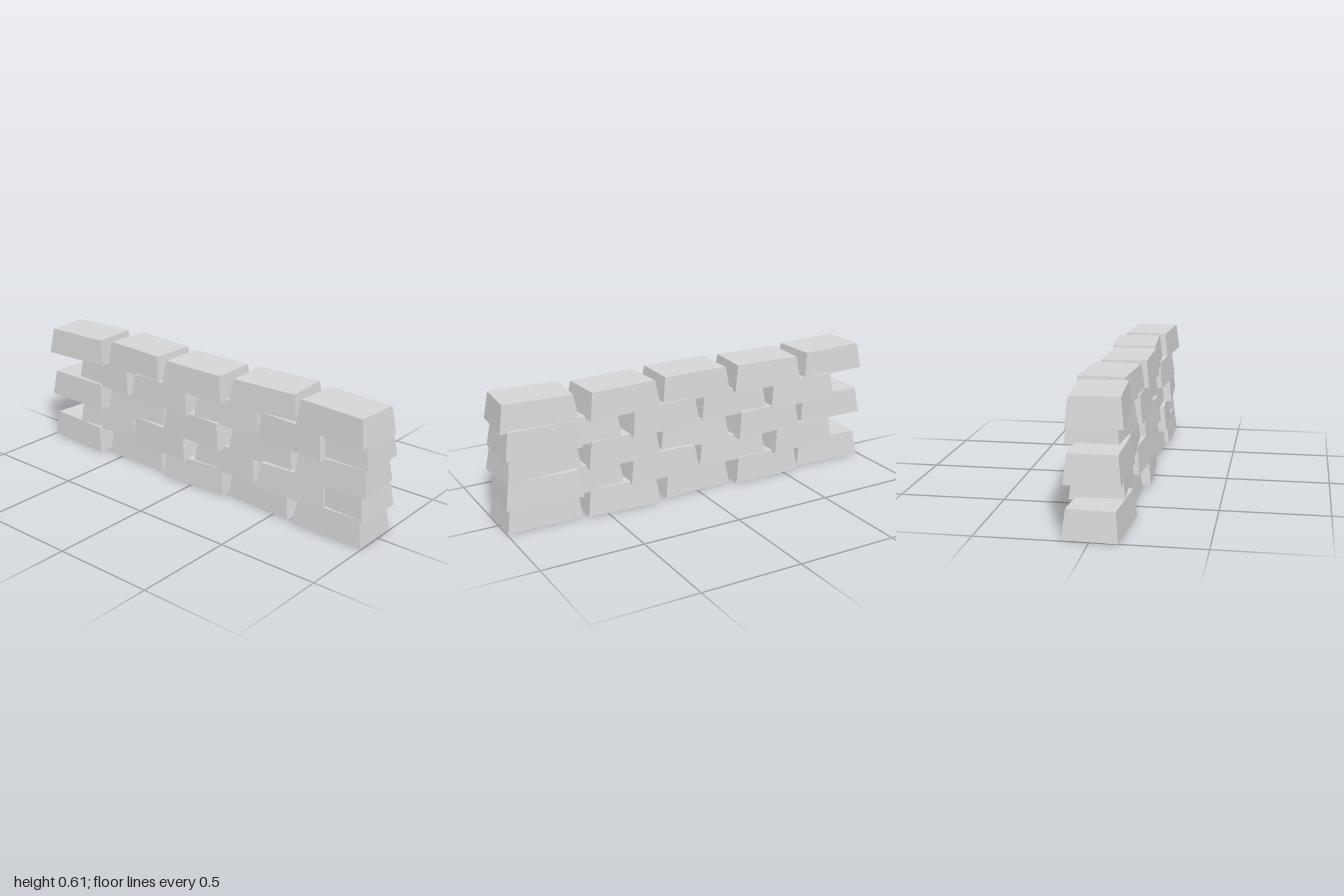
import * as THREE from 'three';

// Dimensions of one tapered block and of the wall grid
const WIDTH = 0.374, DEPTH = 0.245, HEIGHT = 0.131;
const TAPER_X = 0.02, TAPER_Z = 0.0143;
const ROWS = 5, COLUMNS = 5;
const PITCH = 0.403, ROW_STEP = 0.1207;
const HALF_OFFSET = 0.187, TURN = 0.061, SHIFT = 0.0125;

// Box standing on y = 0 with its top face drawn in on all sides
function blockGeometry() {
  const box = new THREE.BoxGeometry(WIDTH, HEIGHT, DEPTH).translate(0, HEIGHT / 2, 0);
  const p = box.attributes.position;
  for (let i = 0; i < p.count; i++) {
    if (p.getY(i) < HEIGHT / 2) continue;
    p.setX(i, p.getX(i) - Math.sign(p.getX(i)) * TAPER_X);
    p.setZ(i, p.getZ(i) - Math.sign(p.getZ(i)) * TAPER_Z);
  }
  box.computeVertexNormals();
  return box;
}

export function createModel() {
  const wall = new THREE.Group();
  wall.name = 'stoneWall';
  const stone = new THREE.MeshStandardMaterial({ color: 0xd6d6d6 });
  stone.name = 'light grey stone';
  const geometry = blockGeometry();
  const endX = PITCH * (COLUMNS - 1) / 2;

  for (let row = 0; row < ROWS; row++) {
    const course = new THREE.Group();
    course.name = `course${row + 1}`;
    course.position.y = row * ROW_STEP;
    for (let col = 0; col < COLUMNS; col++) {
      const block = new THREE.Mesh(geometry, stone);
      block.name = `block${col + 1}`;
      // Every other course is staggered; its last block stays flush with the wall end
      const x = -endX + col * PITCH + (row % 2) * HALF_OFFSET;
      // Blocks step in and out like a chequerboard and turn in a cycle of three
      block.position.set(Math.min(x, endX), 0, (row + col) % 2 ? -SHIFT : SHIFT);
      block.rotation.y = ((col + 2 * row) % 3 - 1) * TURN;
      course.add(block);
    }
    wall.add(course);
  }
  return wall;
}
